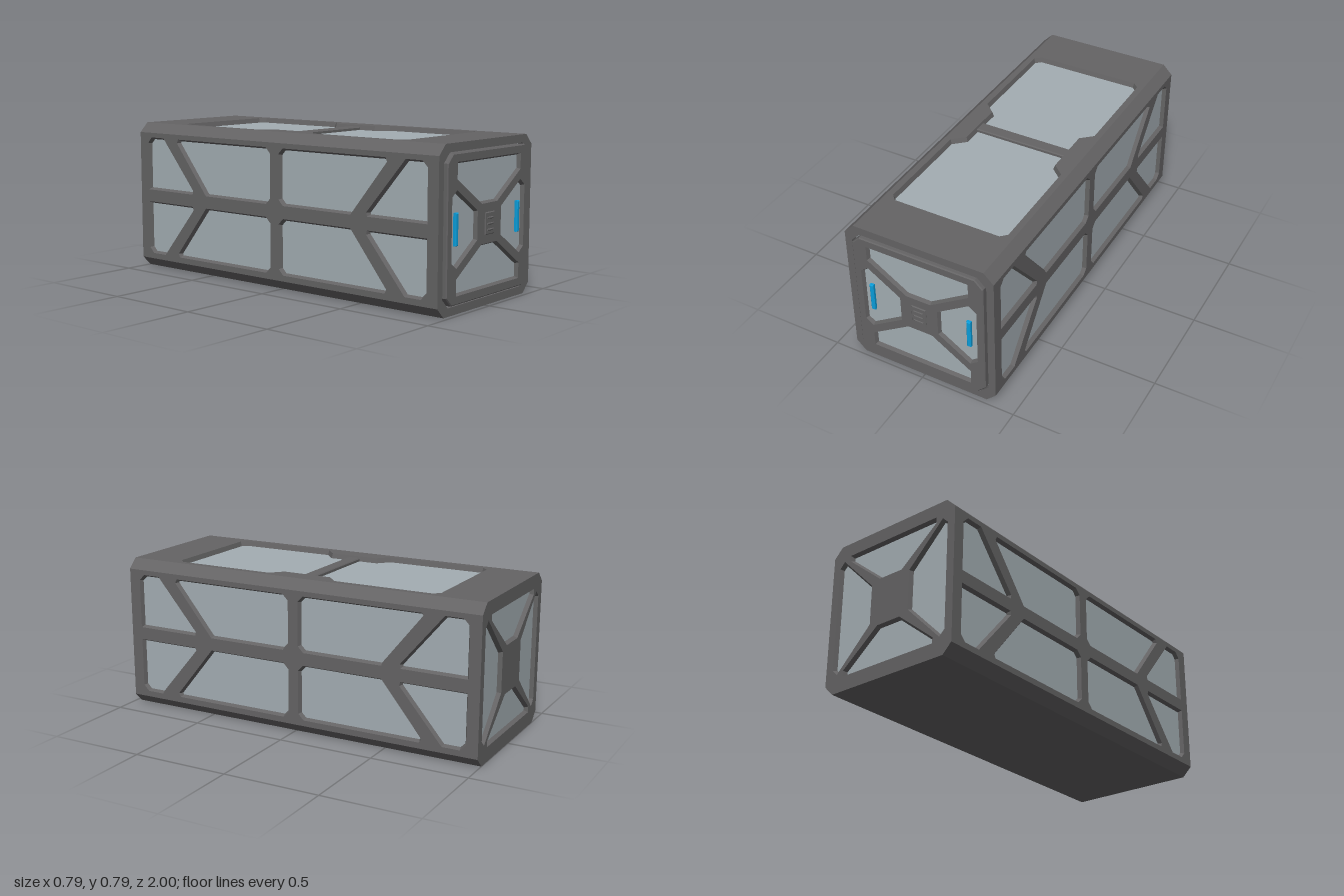
import * as THREE from 'three';

const mat = (name, color) => new THREE.MeshStandardMaterial({ name, color });
const W = 0.393, H = 0.79, C = 0.05;       // half width, height, corner chamfer
const FRONT = 0.975, BACK = -1, MID = -0.0125, HALF = 0.9875;
const CY = 0.3975;                         // mirror line of the panel pattern

// Counter-clockwise copy of a list of [x, y] points
function ccw(pts) {
  const v = pts.map(([x, y]) => new THREE.Vector2(x, y));
  return THREE.ShapeUtils.isClockWise(v) ? v.reverse() : v;
}
const flip = (pts, sx, sy, cy = CY) => pts.map(([x, y]) => [x * sx, sy < 0 ? 2 * cy - y : y]);
const rect = (x0, y0, x1, y1) => [[x0, y0], [x1, y0], [x1, y1], [x0, y1]];
const octagon = (x, y0, y1, c) => [
  [-x + c, y0], [x - c, y0], [x, y0 + c], [x, y1 - c],
  [x - c, y1], [-x + c, y1], [-x, y1 - c], [-x, y0 + c]];

// Moves every edge of a polygon inward by d
function shrink(v, d) {
  return v.map((p, i) => {
    const a = v[(i + v.length - 1) % v.length], b = v[(i + 1) % v.length];
    const d1 = p.clone().sub(a).normalize(), d2 = b.clone().sub(p).normalize();
    const n1 = new THREE.Vector2(-d1.y, d1.x), n2 = new THREE.Vector2(-d2.y, d2.x);
    return p.clone().addScaledVector(n1.clone().add(n2), d / (1 + n1.dot(n2)));
  });
}

// Flat-shaded strip of quads joining outline a at za with outline b at zb
function band(a, za, b, zb, material, keep = () => true) {
  const pos = [];
  a.forEach((p, i) => {
    if (!keep(i)) return;
    const j = (i + 1) % a.length;
    const q = [[p, za], [a[j], za], [b[j], zb], [b[i], zb]];
    [0, 1, 2, 0, 2, 3].forEach(k => pos.push(q[k][0].x, q[k][0].y, q[k][1]));
  });
  const g = new THREE.BufferGeometry();
  g.setAttribute('position', new THREE.Float32BufferAttribute(pos, 3));
  g.computeVertexNormals();
  return new THREE.Mesh(g, material);
}

function cap(v, z, material, holes = []) {
  const s = new THREE.Shape(v);
  s.holes = holes.map(h => new THREE.Path(h.slice().reverse()));
  const m = new THREE.Mesh(new THREE.ShapeGeometry(s), material);
  m.position.z = z;
  return m;
}

// Flat frame facing +z with sloped recesses, each closed by an inner panel
function recessedFace(name, outline, holes, depth, inset, frame, panel) {
  const g = new THREE.Group();
  g.name = name;
  const hs = holes.map(ccw);
  const add = (m, n) => { m.name = n; g.add(m); };
  add(cap(ccw(outline), 0, frame, hs), 'frame');
  hs.forEach(h => {
    const inner = shrink(h, inset);
    add(band(h, 0, inner, -depth, frame), 'recessWall');
    add(cap(inner, -depth, panel), 'panel');
  });
  return g;
}

// Raised block with a sloped rim
function raised(name, pts, z0, z1, bevel, material) {
  const g = new THREE.Group();
  g.name = name;
  const v = ccw(pts), top = shrink(v, bevel), zb = z1 - bevel;
  g.add(band(v, z0, v, zb, material), band(v, zb, top, z1, material), cap(top, z1, material));
  return g;
}

export function createModel() {
  const frame = mat('frame grey', 0x646364);
  const panel = mat('panel light grey', 0xa3adb2);
  const blue = mat('handle blue', 0x0a9edb);
  const model = new THREE.Group();
  model.name = 'container';

  // Bottom and chamfered long edges
  const section = ccw(octagon(W, 0, H, C));
  const shell = band(section, BACK, section, FRONT, frame, i => ![2, 4, 6].includes(i));
  shell.name = 'bottomAndEdges';
  model.add(shell);

  // Long sides: one quarter of the pattern, mirrored
  const endPanel = [[0.9275, 0.43], [0.9275, 0.685], [0.8975, 0.715],
    [0.805, 0.715], [0.58, 0.45], [0.585, 0.43]];
  const midPanel = [[0.69, 0.715], [0.0575, 0.715], [0.0275, 0.685], [0.0275, 0.46],
    [0.0575, 0.43], [0.485, 0.43], [0.70, 0.695]];
  const sideHoles = [];
  for (const p of [endPanel, midPanel])
    for (const sx of [1, -1]) for (const sy of [1, -1]) sideHoles.push(flip(p, sx, sy));
  for (const s of [1, -1]) {
    const side = recessedFace(s > 0 ? 'leftSide' : 'rightSide',
      rect(-HALF, C, HALF, H - C), sideHoles, 0.02, 0.01, frame, panel);
    side.rotation.y = s * Math.PI / 2;
    side.position.set(s * W, 0, MID);
    model.add(side);
  }

  // Roof with a narrow-waisted recess and a cross bar
  const quarter = [[0.25, 0.13], [0.31, 0.185], [0.31, 0.705], [0.28, 0.735]];
  const roofHole = [...quarter, ...flip(quarter, -1, 1).reverse(),
    ...flip(quarter, -1, -1, 0), ...flip(quarter, 1, -1, 0).reverse()];
  const roof = recessedFace('roof', rect(-W + C, -HALF, W - C, HALF), [roofHole],
    0.025, 0.008, frame, panel);
  roof.rotation.x = -Math.PI / 2;
  roof.position.set(0, H, MID);
  roof.add(raised('roofCrossBar', rect(-0.25, -0.033, 0.25, 0.033), -0.025, -0.008, 0.005, frame));
  model.add(roof);

  // Back wall with four panels
  const backTop = [[-0.28, 0.72], [0.28, 0.72], [0.28, 0.69], [0.07, 0.52], [-0.07, 0.52], [-0.28, 0.69]];
  const backSide = [[0.12, 0.295], [0.12, 0.50], [0.32, 0.70], [0.35, 0.67], [0.35, 0.125], [0.32, 0.095]];
  const back = recessedFace('backWall', octagon(W, 0, H, C),
    [backTop, flip(backTop, 1, -1), backSide, flip(backSide, -1, 1)], 0.02, 0.01, frame, panel);
  back.rotation.y = Math.PI;
  back.position.z = BACK;
  model.add(back);

  // Front rim, with a gap around the door
  const rim = recessedFace('frontRim', octagon(W, 0, H, C),
    [octagon(0.355, 0.04, 0.75, 0.045)], 0.03, 0, frame, panel);
  rim.position.z = FRONT;
  model.add(rim);

  // Door
  const DZ = 0.991;
  const doorOutline = ccw(octagon(0.347, 0.049, 0.745, 0.042));
  const doorFace = shrink(doorOutline, 0.005);
  const doorTop = [[-0.27, 0.705], [0.27, 0.705], [0.27, 0.627], [0.065, 0.493], [-0.065, 0.493], [-0.27, 0.627]];
  const doorSide = [[0.10, 0.328], [0.10, 0.466], [0.27, 0.578], [0.31, 0.548], [0.31, 0.247], [0.27, 0.217]];
  const door = recessedFace('door', doorFace.map(p => [p.x, p.y]),
    [doorTop, flip(doorTop, 1, -1), doorSide, flip(doorSide, -1, 1)], 0.018, 0.009, frame, panel);
  door.add(band(doorOutline, -0.046, doorOutline, -0.005, frame),
    band(doorOutline, -0.005, doorFace, 0, frame));
  door.position.z = DZ;
  model.add(door);

  // Door handles
  for (const s of [1, -1]) {
    const x = s * 0.263;
    door.add(raised(s > 0 ? 'leftHandle' : 'rightHandle',
      rect(x - 0.011, 0.32, x + 0.011, 0.473), -0.018, -0.002, 0.004, blue));
  }

  // Central vent with three slats
  door.add(raised('vent', rect(-0.04, 0.343, 0.04, 0.45), 0, 0.005, 0.004, frame));
  for (const y of [0.366, 0.394, 0.422])
    door.add(raised('ventSlat', rect(-0.026, y - 0.005, 0.026, y + 0.005), 0.004, 0.009, 0.003, frame));

  return model;
}
